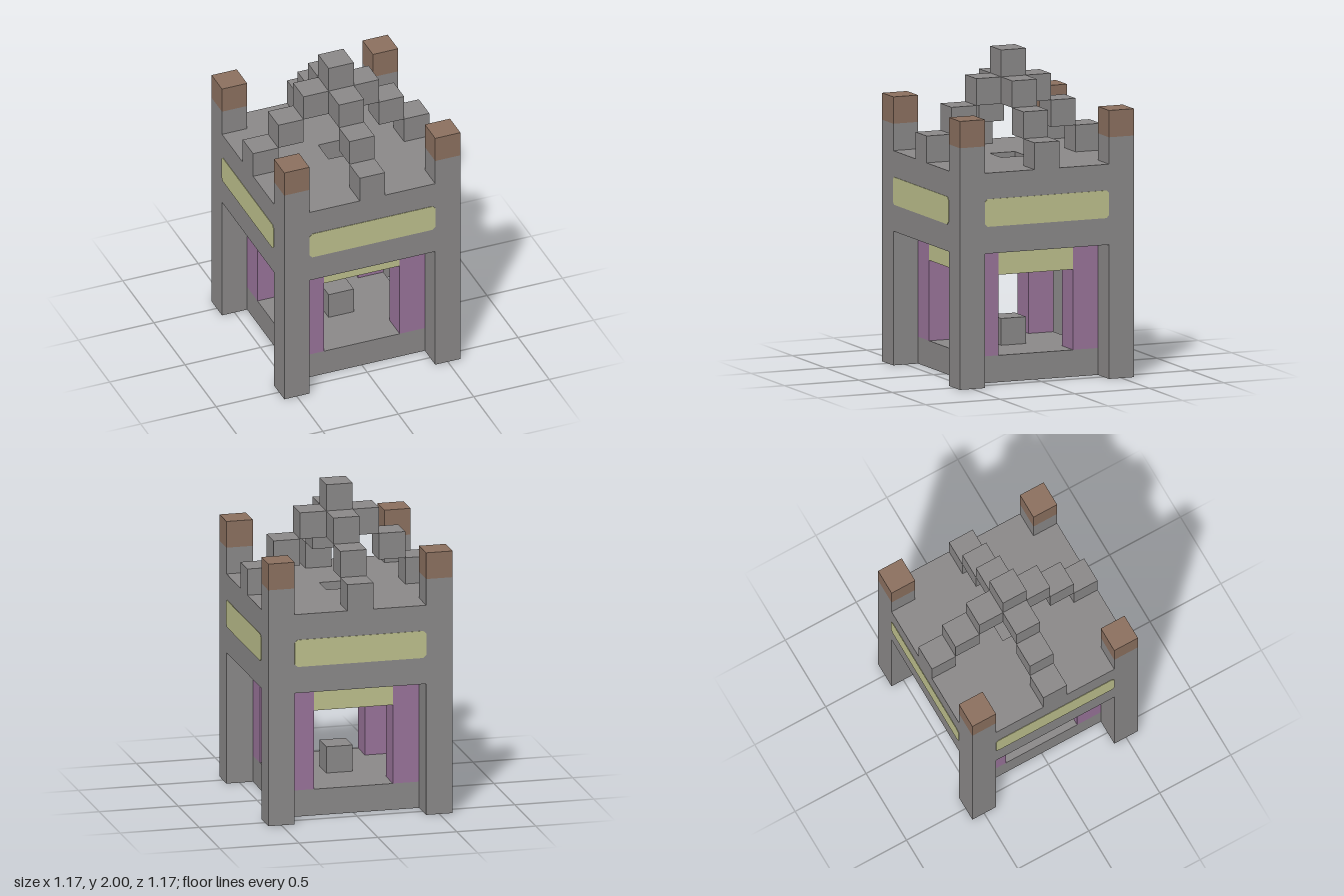
import * as THREE from 'three';

const U = 1 / 6; // one block

export function createModel() {
  const mat = (name, color) => {
    const m = new THREE.MeshStandardMaterial({ color });
    m.name = name;
    return m;
  };
  const stone = mat('stone grey', 0x8a8888);
  const clay = mat('clay brown', 0x8b705f);
  const purple = mat('purple', 0x987399);
  const yellow = mat('pale yellow', 0xbdbf8c);

  const model = new THREE.Group();
  model.name = 'shrine';

  const add = (parent, name, geometry, material) => {
    const mesh = new THREE.Mesh(geometry, material);
    mesh.name = name;
    parent.add(mesh);
    return mesh;
  };
  // Box given in blocks: centre x and z, bottom and top y, width and depth
  const box = (parent, name, material, x, z, y0, y1, w = 1, d = 1) => {
    const mesh = add(parent, name, new THREE.BoxGeometry(w * U, (y1 - y0) * U, d * U), material);
    mesh.position.set(x * U, ((y0 + y1) / 2) * U, z * U);
    return mesh;
  };

  // Floor and central pedestal
  box(model, 'floor', stone, 0, 0, 0, 1, 5, 5);
  box(model, 'pedestal', stone, 0, 0, 1, 2);

  // Outer posts with caps, inner pillars
  for (const sx of [-1, 1]) {
    for (const sz of [-1, 1]) {
      box(model, 'cornerPost', stone, 3 * sx, 3 * sz, 0, 9);
      box(model, 'postCap', clay, 3 * sx, 3 * sz, 9, 10);
      box(model, 'innerPillar', purple, 2 * sx, 2 * sz, 1, 5);
    }
  }

  // Cross-shaped roof slab between the posts, with a square opening
  const a = 2.5 * U, b = 3.5 * U, h = 0.5 * U;
  const outline = (points) => points.map(([x, y]) => new THREE.Vector2(x, y));
  const roof = new THREE.Shape(outline([
    [-a, -b], [a, -b], [a, -a], [b, -a], [b, a], [a, a],
    [a, b], [-a, b], [-a, a], [-b, a], [-b, -a], [-a, -a],
  ]));
  roof.holes.push(new THREE.Path(outline([[-h, -h], [-h, h], [h, h], [h, -h]])));
  const roofGeometry = new THREE.ExtrudeGeometry(roof, { depth: U, bevelEnabled: false });
  roofGeometry.rotateX(-Math.PI / 2).translate(0, 7 * U, 0);
  add(model, 'roofSlab', roofGeometry, stone);

  // Wall band with clipped corners
  const c = 0.018, y0 = 6 * U, y1 = 7 * U + 0.005;
  const bandShape = new THREE.Shape(outline([
    [-a + c, y0], [a - c, y0], [a, y0 + c], [a, y1 - c],
    [a - c, y1], [-a + c, y1], [-a, y1 - c], [-a, y0 + c],
  ]));
  const bandGeometry = new THREE.ExtrudeGeometry(bandShape, { depth: 0.003, bevelEnabled: false });

  // The four sides repeat around the centre
  for (let i = 0; i < 4; i++) {
    const side = new THREE.Group();
    side.name = 'side';
    side.rotation.y = (i * Math.PI) / 2;
    model.add(side);
    box(side, 'upperWall', stone, 0, 3, 5, 7, 5, 1);
    box(side, 'innerBeam', yellow, 0, 2, 4, 7, 3, 1);
    add(side, 'wallBand', bandGeometry, yellow).position.z = b;
    // Blocks climbing from the wall to the peak
    for (let s = 0; s < 3; s++) box(side, 'spireStep', stone, 0, 3 - s, 8 + s, 9 + s);
  }
  box(model, 'spirePeak', stone, 0, 0, 11, 12);

  return model;
}
